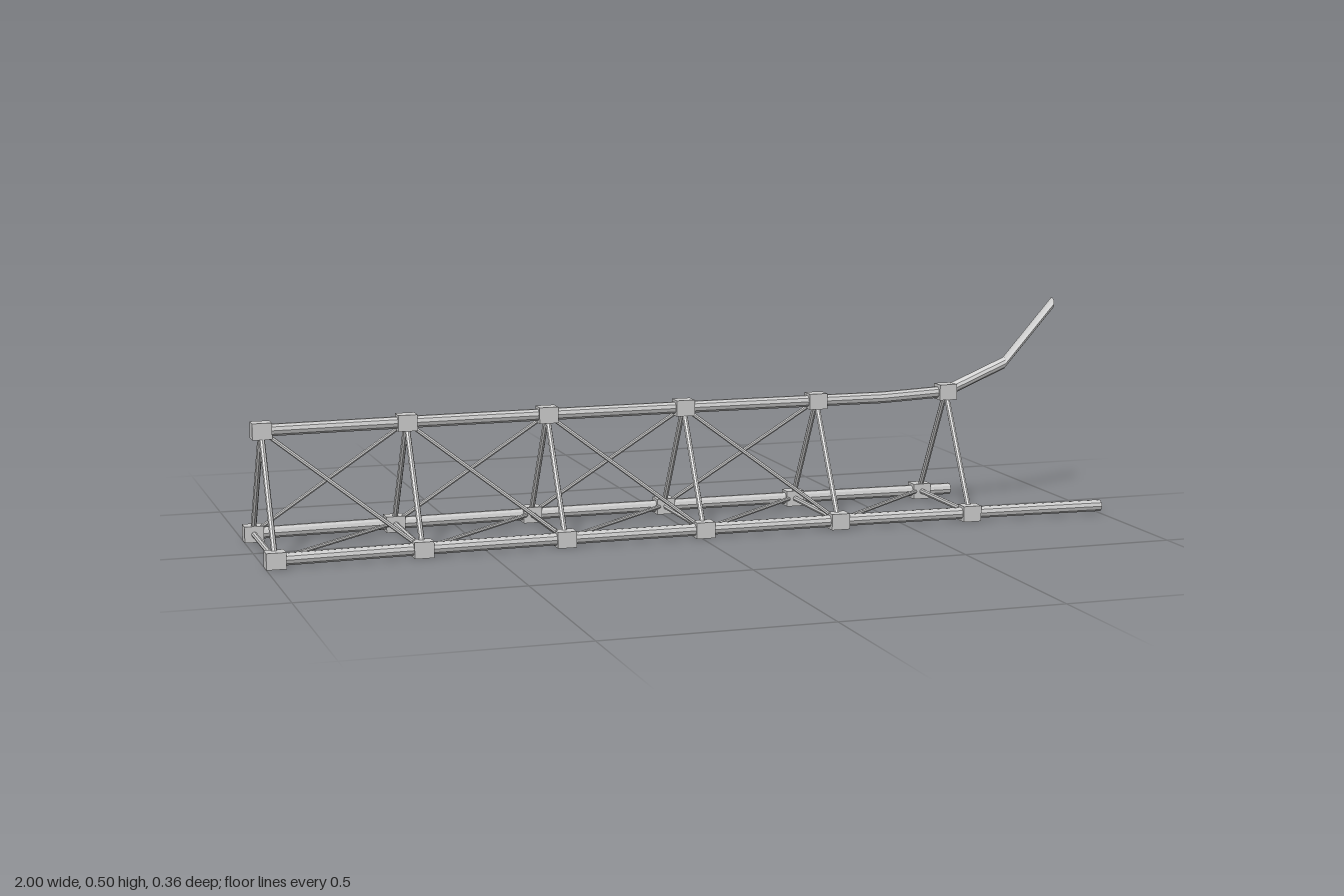
import * as THREE from 'three';

const material = new THREE.MeshStandardMaterial({ color: 0xcccccc, flatShading: true });
const NODES = 6, FIRST = -0.978, BAY = 0.329;
const BASE_Y = 0.019, TOP_Y = 0.279;
const nodeX = (i) => FIRST + i * BAY;

// sideways bow shared by the whole truss
const bow = (x) => -0.0115 + 0.0255 * x * x;

// upward curl of the top chord: [x, rise]
const CURL = [[0.5, 0], [0.667, 0.008], [0.815, 0.071], [0.937, 0.212]];
function rise(x) {
  if (x <= CURL[0][0]) return 0;
  let k = 1;
  while (k < CURL.length - 1 && x > CURL[k][0]) k++;
  const [x0, y0] = CURL[k - 1], [x1, y1] = CURL[k];
  return y0 + (y1 - y0) * (x - x0) / (x1 - x0);
}

const CHORDS = {
  front: { end: [0.83, 1.0], at: (x) => new THREE.Vector3(x, BASE_Y, 0.15 + bow(x)) },
  back: { end: [0.745], at: (x) => new THREE.Vector3(x, BASE_Y, -0.15 + bow(x)) },
  top: { end: [0.815, 0.937], at: (x) => new THREE.Vector3(x, TOP_Y + rise(x), bow(x)) },
};

function add(group, geometry, name) {
  const mesh = new THREE.Mesh(geometry, material);
  mesh.name = name;
  group.add(mesh);
  return mesh;
}

// long tube whose upright cross-sections follow the chord's path
function chordGeometry(chord) {
  const stations = [];
  for (let i = 0; i < NODES; i++) {
    stations.push(nodeX(i));
    if (i < NODES - 1) stations.push(nodeX(i) + BAY / 2);
  }
  stations.push(...chord.end);
  const n = stations.length - 1;
  const geometry = new THREE.CylinderGeometry(0.014, 0.014, 1, 10, n);
  geometry.rotateZ(-Math.PI / 2);
  const pos = geometry.attributes.position;
  for (let i = 0; i < pos.count; i++) {
    const c = chord.at(stations[Math.round((pos.getX(i) + 0.5) * n)]);
    pos.setXYZ(i, c.x, c.y + pos.getY(i), c.z + pos.getZ(i));
  }
  geometry.computeVertexNormals();
  return geometry;
}

// straight round bar between two points
function bar(group, a, b, radius, name) {
  const dir = b.clone().sub(a);
  const mesh = add(group, new THREE.CylinderGeometry(radius, radius, dir.length(), 8), name);
  mesh.position.copy(a).add(b).multiplyScalar(0.5);
  mesh.quaternion.setFromUnitVectors(new THREE.Vector3(0, 1, 0), dir.normalize());
}

export function createModel() {
  const model = new THREE.Group();
  model.name = 'truss';

  // chords and their joint blocks
  for (const [name, chord] of Object.entries(CHORDS)) {
    add(model, chordGeometry(chord), name + 'Chord');
    for (let i = 0; i < NODES; i++) {
      add(model, new THREE.BoxGeometry(0.044, 0.037, 0.037), name + 'Joint')
        .position.copy(chord.at(nodeX(i)));
    }
  }

  // triangular frames and diagonal braces; the last bay is braced only below
  const faces = [['top', 'front'], ['front', 'back'], ['back', 'top']];
  for (const [from, to] of faces) {
    const a = CHORDS[from], b = CHORDS[to];
    const braces = from === 'front' ? NODES - 1 : NODES - 2;
    for (let i = 0; i < NODES; i++) {
      bar(model, a.at(nodeX(i)), b.at(nodeX(i)), 0.0065, 'frameStrut');
      if (i < braces) bar(model, a.at(nodeX(i)), b.at(nodeX(i + 1)), 0.005, 'diagonalBrace');
    }
  }
  return model;
}
